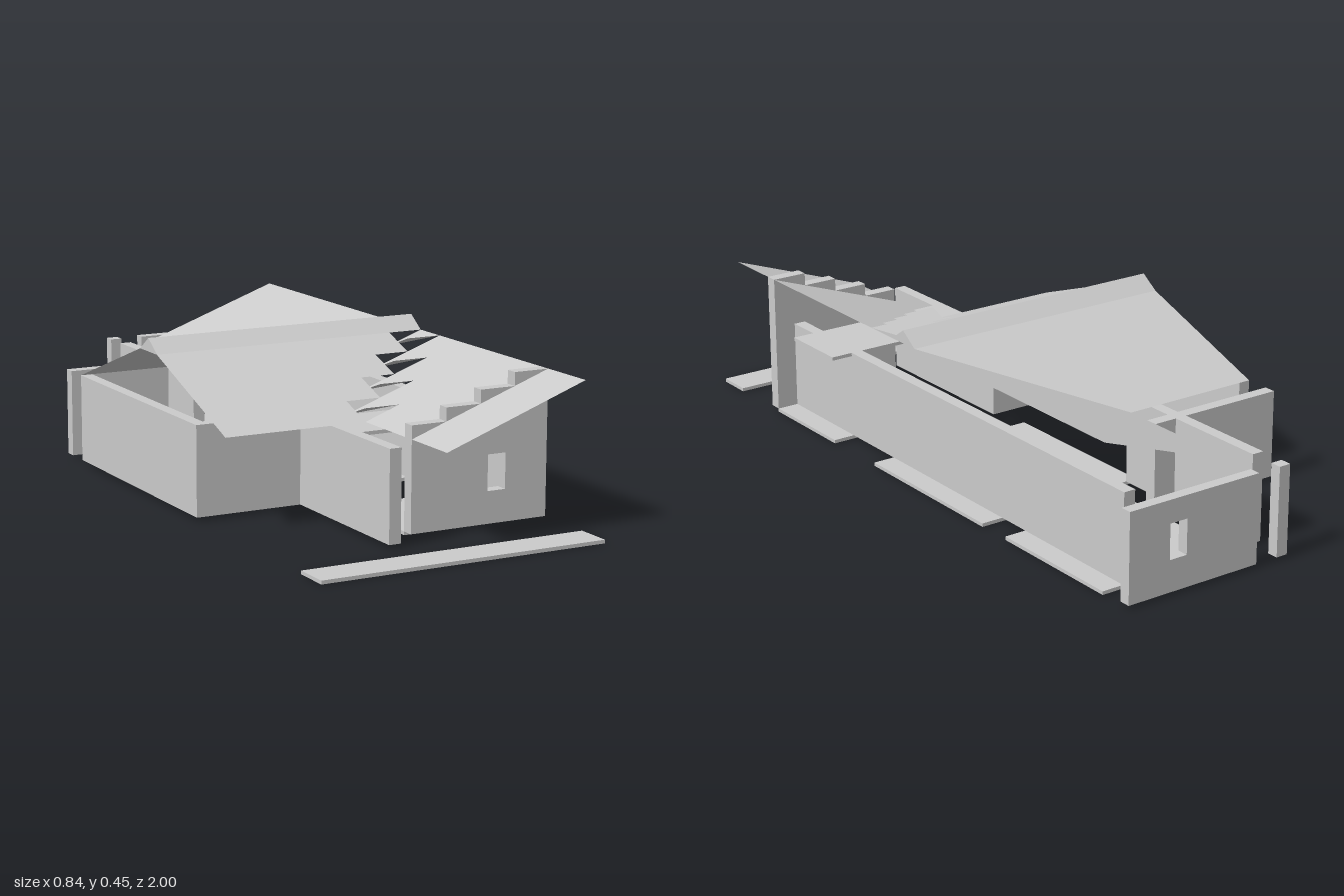
import * as THREE from 'three';

export function createModel() {
  const model = new THREE.Group();
  const wallMat = new THREE.MeshStandardMaterial({ color: 0xcccccc });
  const roofMat = new THREE.MeshStandardMaterial({ color: 0xcccccc, side: THREE.DoubleSide, flatShading: true });

  const X = 0.42, BASE = 0.01, EAVE = 0.265, TOP = 0.415;
  const CELL = 0.105, RISE = 0.0375, EDGE = 0.475, END = 0.895;

  // Box given by its limits on each axis
  function box(name, x0, x1, y0, y1, z0, z1) {
    const geo = new THREE.BoxGeometry(x1 - x0, y1 - y0, z1 - z0);
    geo.translate((x0 + x1) / 2, (y0 + y1) / 2, (z0 + z1) / 2);
    const mesh = new THREE.Mesh(geo, wallMat);
    mesh.name = name;
    model.add(mesh);
  }
  const wall = (name, x0, x1, z0, z1) => box(name, x0, x1, BASE, EAVE, z0, z1);
  const slab = (name, x0, x1, z0, z1) => box(name, x0, x1, 0, BASE, z0, z1);

  // Thin roof sheet from corner quads, split along a-c; flip turns the faces round
  function sheet(name, quads, flip) {
    const pos = [];
    for (const [a, b, c, d] of quads) {
      if (flip) pos.push(...a, ...c, ...b, ...a, ...d, ...c);
      else pos.push(...a, ...b, ...c, ...a, ...c, ...d);
    }
    const geo = new THREE.BufferGeometry();
    geo.setAttribute('position', new THREE.Float32BufferAttribute(pos, 3));
    geo.computeVertexNormals();
    const mesh = new THREE.Mesh(geo, roofMat);
    mesh.name = name;
    model.add(mesh);
  }

  // Wall across x with a window hole and an outline of [x, y] points
  function windowWall(name, outline, z, depth) {
    const shape = new THREE.Shape(outline.map(p => new THREE.Vector2(...p)));
    shape.holes.push(new THREE.Path([[0.235, 0.1], [0.235, 0.2], [0.29, 0.2], [0.29, 0.1]]
      .map(p => new THREE.Vector2(...p))));
    const geo = new THREE.ExtrudeGeometry(shape, { depth, bevelEnabled: false });
    geo.translate(0, 0, z);
    const mesh = new THREE.Mesh(geo, wallMat);
    mesh.name = name;
    model.add(mesh);
  }

  // Floor slabs
  slab('frontStep', -X, X, END, 1);
  slab('frontFloor', 0, X, 0.37, 0.685);
  slab('middleFloor', 0.16, X, -0.37, 0.16);
  slab('hallFloor', -0.105, 0, -0.37, 0.16);
  slab('backFloor', 0, X, -END, -EDGE);
  box('ceilingSlab', -0.07, X, 0.255, EAVE, 0.37, 0.58);

  // Straight walls
  wall('longWall', 0.32, 0.355, -END, 0.685);
  wall('frontWingWall', -0.105, -0.07, 0.265, 0.787);
  wall('backWingWall', -0.105, -0.07, -END, -0.37);
  wall('backCrossWall', -X, 0, -0.58, -0.545);
  wall('leftWall', -X, -0.385, -EDGE, 0.3);
  wall('leftRoomFrontWall', -0.385, -0.105, 0.265, 0.3);
  wall('backPost', -0.105, -0.07, -1, -0.967);

  // Window walls: a stepped half gable at the front, a plain wall at the back
  const stepped = [[0, BASE], [X, BASE]];
  for (let i = 3; i >= 0; i--) {
    const y = EAVE + RISE * (i + 1);
    stepped.push([CELL * (i + 1), y], [CELL * i, y]);
  }
  windowWall('frontGableWall', stepped, 0.684, 0.035);
  windowWall('backWindowWall', [[0, BASE], [X, BASE], [X, EAVE], [0, EAVE]], -1, 0.033);

  // Roofs: stepped strips of the main and wing slopes, with valley tiles between
  for (const [side, s] of [['front', 1], ['back', -1]]) {
    const main = [], wing = [], valley = [];
    for (let i = 0; i < 4; i++) {
      const x0 = CELL * i, x1 = x0 + CELL;
      const lo = EAVE + RISE * i, hi = lo + RISE;
      const zo = s * (EDGE - CELL * i), zi = s * (EDGE - CELL * (i + 1));
      main.push([[-X, lo, zo], [x0, lo, zo], [x0, hi, zi], [-X, hi, zi]]);
      wing.push([[x0, lo, zo], [x0, lo, s * END], [x1, hi, s * END], [x1, hi, zo]]);
      // the low corner faces inward at the front and outward at the back
      const [zLow, zHigh] = s > 0 ? [zi, zo] : [zo, zi];
      valley.push([[x0, lo, zLow], [x0, hi, zHigh], [x1, hi, zHigh], [x1, hi, zLow]]);
    }
    sheet(side + 'MainRoof', main, s < 0);
    sheet(side + 'WingRoof', wing, s < 0);
    sheet(side + 'ValleyTiles', valley, false);
  }

  // Ridge cap along x
  const cap = new THREE.Shape([[-0.055, TOP], [0.055, TOP], [0, 0.453]].map(p => new THREE.Vector2(...p)));
  const capGeo = new THREE.ExtrudeGeometry(cap, { depth: 2 * X, bevelEnabled: false });
  capGeo.translate(0, 0, -X).rotateY(Math.PI / 2);
  const ridge = new THREE.Mesh(capGeo, roofMat);
  ridge.name = 'ridgeCap';
  model.add(ridge);

  return model;
}
